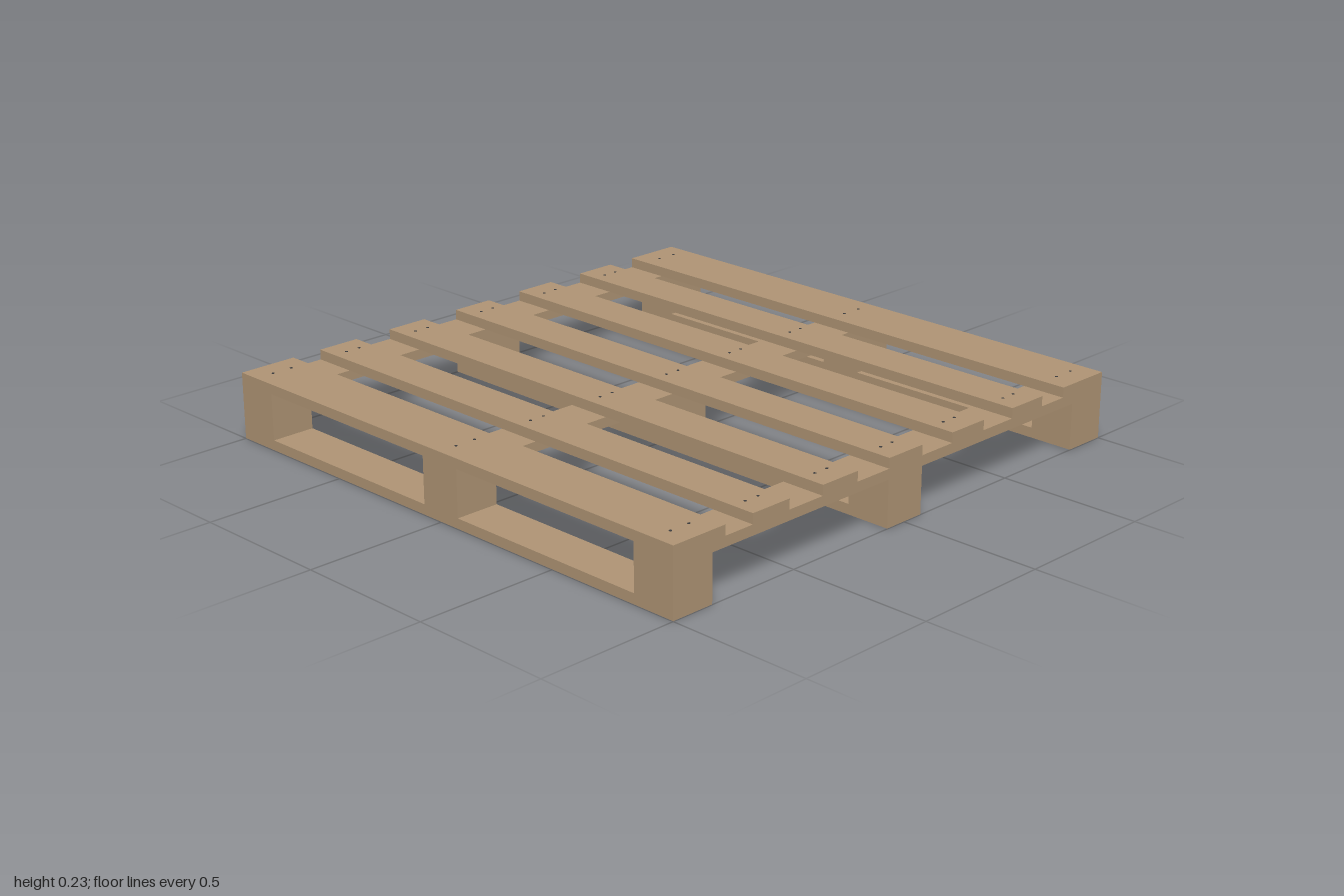
import * as THREE from 'three';

export function createModel() {
  const wood = new THREE.MeshStandardMaterial({ color: 0xb09575 });
  wood.name = 'wood';
  const steel = new THREE.MeshStandardMaterial({ color: 0x3c3c3e });
  steel.name = 'nail steel';

  const model = new THREE.Group();
  model.name = 'pallet';

  const W = 0.157;                                // width of blocks, stringers and bottom boards
  const BASE = 0.001, BOTTOM = 0.036, BLOCK = 0.162, STRINGER = 0.197, TOP = 0.232;
  const rows = [-1 + W / 2, 0, 1 - W / 2];        // shared x and z positions

  function plank(name, w, d, x, z, y0, y1) {
    const mesh = new THREE.Mesh(new THREE.BoxGeometry(w, y1 - y0, d), wood);
    mesh.name = name;
    mesh.position.set(x, (y0 + y1) / 2, z);
    model.add(mesh);
  }

  // Pairs of nail heads where a board crosses each row of blocks
  const nailGeometry = new THREE.CylinderGeometry(0.005, 0.005, 0.002, 10);
  function nails(z, spread, y) {
    for (const x of rows) {
      for (const side of [-1, 1]) {
        const nail = new THREE.Mesh(nailGeometry, steel);
        nail.name = 'nailHead';
        nail.position.set(x, y, z + side * spread);
        model.add(nail);
      }
    }
  }

  // Bottom boards across the width, with the blocks standing on them
  for (const z of rows) {
    plank('bottomBoard', 2, W, 0, z, BASE, BOTTOM);
    nails(z, 0.027, BASE);
    for (const x of rows) plank('block', W, W, x, z, BOTTOM, BLOCK);
  }

  // Stringers from front to back
  for (const x of rows) plank('stringer', W, 2, x, 0, BLOCK, STRINGER);

  // Deck: wide end boards and narrower boards between
  for (const z of [-0.895, 0.895]) {
    plank('wideDeckBoard', 2, 0.21, 0, z, STRINGER, TOP);
    nails(z, 0.037, TOP);
  }
  for (let i = -2; i <= 2; i++) {
    const z = i * 0.3;
    plank('deckBoard', 2, 0.155, 0, z, STRINGER, TOP);
    nails(z, 0.027, TOP);
  }

  return model;
}
